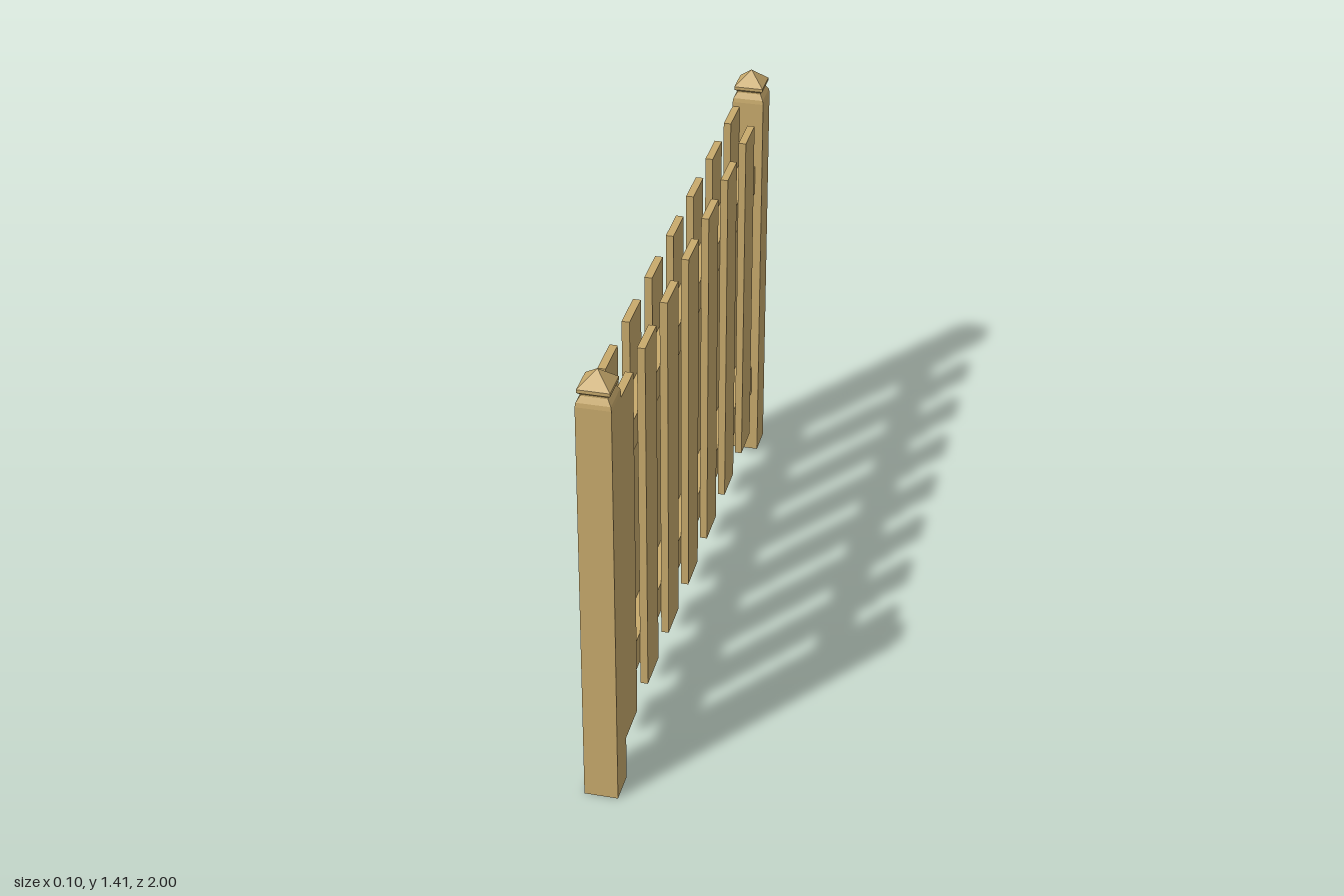
import * as THREE from 'three';

const wood = new THREE.MeshStandardMaterial({ color: 0xc8aa6c, flatShading: true, side: THREE.DoubleSide });

function board(name, w, h, d, x, y, z) {
  const mesh = new THREE.Mesh(new THREE.BoxGeometry(w, h, d), wood);
  mesh.name = name;
  mesh.position.set(x, y, z);
  return mesh;
}

// Square post, open below: [half width, height] profile turned with four sides
function post(name, z) {
  const profile = [
    [0.05, 0], [0.05, 1.315], [0.048, 1.328], [0.041, 1.34], [0.038, 1.345], // shaft and rounded shoulder
    [0.038, 1.35], [0.046, 1.357], [0.046, 1.367], [0, 1.412],               // neck and pyramid cap
  ].map(([r, y]) => new THREE.Vector2(r * Math.SQRT2, y));
  const mesh = new THREE.Mesh(new THREE.LatheGeometry(profile, 4, Math.PI / 4), wood);
  mesh.name = name;
  mesh.position.z = z;
  return mesh;
}

export function createModel() {
  const fence = new THREE.Group();
  fence.name = 'fence';

  fence.add(post('frontPost', 0.95), post('backPost', -0.95));

  // Horizontal rails between the posts
  fence.add(board('lowerRail', 0.054, 0.102, 1.8, 0, 0.278, 0));
  fence.add(board('upperRail', 0.054, 0.098, 1.8, 0, 1.043, 0));

  // Pickets alternate between the two sides of the rails
  const count = 14, width = 1.8 / count;
  for (let i = 0; i < count; i++) {
    const side = i % 2 === 0 ? 1 : -1;
    const z = 0.9 - (i + 0.5) * width;
    fence.add(board(side > 0 ? 'leftPicket' : 'rightPicket', 0.023, 1.155, width, side * 0.0385, 0.7225, z));
  }
  return fence;
}
